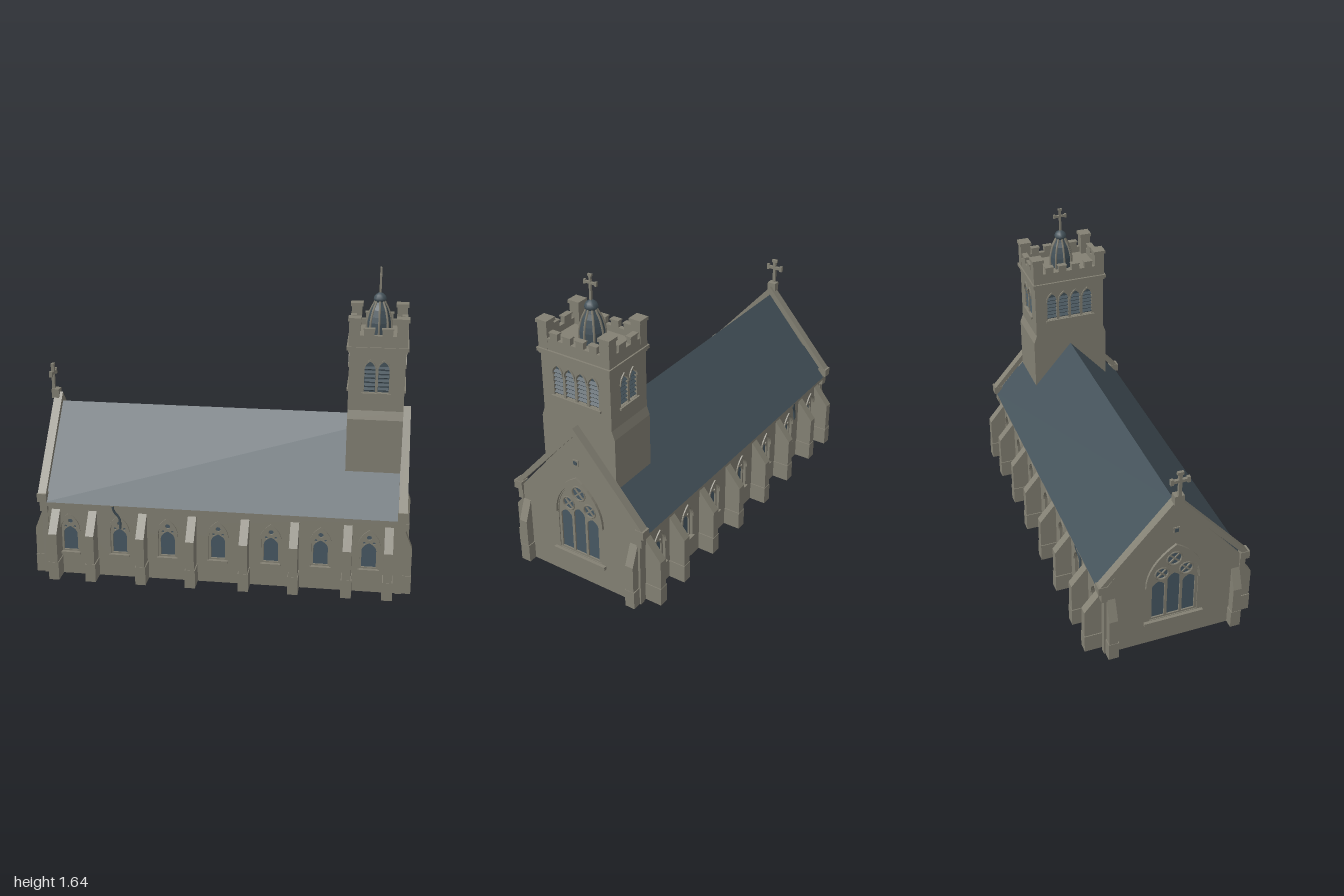
import * as THREE from 'three';

const material = (name, color) => {
  const m = new THREE.MeshStandardMaterial({ color });
  m.name = name;
  return m;
};

export function createModel() {
  const stone = material('stone', 0x838073);
  const slate = material('slate', 0x44525a);
  const glass = material('leaded glass', 0x475863);

  const church = new THREE.Group();
  church.name = 'church';

  const group = (name, parent) => {
    const g = new THREE.Group();
    g.name = name;
    parent.add(g);
    return g;
  };
  const add = (parent, name, geo, mat, x = 0, y = 0, z = 0) => {
    const m = new THREE.Mesh(geo, mat);
    m.name = name;
    m.position.set(x, y, z);
    parent.add(m);
    return m;
  };
  const box = (parent, name, w, h, d, x, y, z, mat = stone) =>
    add(parent, name, new THREE.BoxGeometry(w, h, d), mat, x, y, z);
  const V = (x, y) => new THREE.Vector2(x, y);
  const poly = (...p) => p.map(([x, y]) => V(x, y));

  // Pointed arch outline: base y0, springing ys, apex ya, half width w, centre cx
  const arch = (cx, w, y0, ys, ya) => {
    const p = new THREE.Path();
    p.moveTo(cx + w, y0);
    p.lineTo(cx + w, ys);
    p.quadraticCurveTo(cx + w, ys + 0.6 * (ya - ys), cx, ya);
    p.quadraticCurveTo(cx - w, ys + 0.6 * (ya - ys), cx - w, ys);
    p.lineTo(cx - w, y0);
    return p.getPoints(8);
  };
  const circle = (cx, cy, r) => new THREE.Path().absarc(cx, cy, r, 0, Math.PI * 2).getPoints(12);
  const plate = (pts, depth, holes = []) => {
    const s = new THREE.Shape(pts);
    s.holes = holes.map(h => new THREE.Path(h));
    return new THREE.ExtrudeGeometry(s, { depth, bevelEnabled: false });
  };
  const hood = (parent, name, outer, inner, depth, x, y, z) =>
    add(parent, name, plate([...outer, ...inner.slice().reverse()], depth), stone, x, y, z);

  // ---- Nave body and roof
  box(church, 'naveCore', 1.88, 0.43, 0.67, 0, 0.215, 0);
  const roof = add(church, 'roof', plate(poly([-0.39, 0.415], [0.39, 0.415], [0, 0.86]), 1.87), slate, -0.935);
  roof.rotation.y = Math.PI / 2;

  // Sloped-top buttress, projecting along +z from its wall
  const buttress = (parent, x, z, out, low, high) => {
    const g = plate(poly([0, 0], [out, 0], [out, low], [0, high]), 0.045);
    g.rotateY(-Math.PI / 2);
    add(parent, 'buttress', g, stone, x + 0.0225, 0, z);
    box(parent, 'buttressFoot', 0.055, 0.1, out + 0.004, x, 0.05, z + out / 2);
  };

  // ---- Long sides, the back one turned half round
  const windowXs = [-0.81, -0.54, -0.28, -0.01, 0.27, 0.53, 0.78];
  const buttressXs = [-0.88, -0.68, -0.41, -0.145, 0.135, 0.395, 0.67, 0.88];
  for (const s of [1, -1]) {
    const side = group(s > 0 ? 'frontSide' : 'backSide', church);
    side.rotation.y = s > 0 ? 0 : Math.PI;
    const xs = windowXs.map(x => x * s);
    const wall = poly([-0.94, 0], [0.94, 0], [0.94, 0.42], [-0.94, 0.42]);
    add(side, 'sideWall', plate(wall, 0.03, xs.map(x => arch(x, 0.048, 0.125, 0.25, 0.335))), stone, 0, 0, 0.335);
    for (const x of xs) {
      const w = group('sideWindow', side);
      w.position.x = x;
      add(w, 'pane', new THREE.ShapeGeometry(new THREE.Shape(arch(0, 0.05, 0.12, 0.25, 0.337))), glass, 0, 0, 0.338);
      // Tracery head over the wide light
      const holes = [arch(0, 0.038, 0.132, 0.225, 0.268), circle(0, 0.297, 0.013),
        circle(-0.025, 0.267, 0.007), circle(0.025, 0.267, 0.007)];
      add(w, 'tracery', plate(arch(0, 0.048, 0.125, 0.25, 0.335), 0.01, holes), stone, 0, 0, 0.34);
      hood(w, 'windowHood', arch(0, 0.058, 0.25, 0.255, 0.35), arch(0, 0.048, 0.25, 0.255, 0.335), 0.01, 0, 0, 0.362);
      box(w, 'sill', 0.11, 0.012, 0.018, 0, 0.122, 0.368);
    }
    for (const x of buttressXs) buttress(side, x * s, 0.36, 0.095, 0.26, 0.375);
    box(side, 'eaveCornice', 1.88, 0.025, 0.025, 0, 0.405, 0.372);
    // Bent rainwater pipe
    const pipe = new THREE.CatmullRomCurve3([[0, 0.41, 0.385], [0.005, 0.38, 0.38], [0.03, 0.34, 0.372], [0.035, 0.28, 0.372]]
      .map(p => new THREE.Vector3(...p)));
    add(side, 'rainwaterPipe', new THREE.TubeGeometry(pipe, 10, 0.007, 6), slate, -0.565 * s);
  }

  // ---- Gable ends, built facing +z and turned to face +x and -x
  for (const s of [1, -1]) {
    const end = group(s > 0 ? 'eastGable' : 'westGable', church);
    end.rotation.y = s * Math.PI / 2;
    const opening = arch(0, 0.13, 0.15, 0.37, 0.595);
    add(end, 'gableWall', plate(poly([-0.37, 0], [0.37, 0], [0.37, 0.43], [0, 0.875], [-0.37, 0.43]), 0.03,
      [opening]), stone, 0, 0, 0.925);
    add(end, 'coping', plate(poly([0.395, 0.425], [0.395, 0.462], [0, 0.91], [-0.395, 0.462], [-0.395, 0.425], [0, 0.865]),
      0.045), stone, 0, 0, 0.922);
    add(end, 'greatPane', new THREE.ShapeGeometry(new THREE.Shape(opening)), glass, 0, 0, 0.9415);
    // Three lancet lights under three traceried circles
    const lights = [-1, 0, 1].map(i => arch(i * 0.082, 0.034, 0.16, 0.36 + (i ? 0 : 0.03), 0.395 + (i ? 0 : 0.035)));
    const rounds = [circle(0, 0.522, 0.038), circle(0.065, 0.442, 0.034), circle(-0.065, 0.442, 0.034)];
    add(end, 'greatTracery', plate(opening, 0.008, [...lights, ...rounds]), stone, 0, 0, 0.942);
    for (const [x, y, r] of [[0, 0.522, 0.04], [0.065, 0.442, 0.036], [-0.065, 0.442, 0.036]]) {
      add(end, 'traceryRing', new THREE.TorusGeometry(r, 0.005, 4, 16), stone, x, y, 0.95);
      for (const a of [0, Math.PI / 2])
        box(end, 'traceryBar', 2 * r, 0.007, 0.006, x, y, 0.947).rotation.z = a + Math.PI / 4;
    }
    hood(end, 'greatHood', arch(0, 0.155, 0.375, 0.385, 0.625), arch(0, 0.132, 0.375, 0.385, 0.598), 0.016, 0, 0, 0.952);
    box(end, 'greatSill', 0.32, 0.02, 0.025, 0, 0.137, 0.96);
    box(end, 'vent', 0.034, 0.034, 0.008, 0, 0.71, 0.956);
    box(end, 'ventPane', 0.02, 0.02, 0.003, 0, 0.71, 0.961, slate);
    for (const side of [-1, 1]) {
      buttress(end, side * 0.335, 0.95, 0.05, 0.25, 0.375);
      box(end, 'kneeler', 0.05, 0.045, 0.05, side * 0.378, 0.442, 0.945);
      box(end, 'kneelerCorbel', 0.03, 0.06, 0.04, side * 0.37, 0.39, 0.942);
    }
  }

  // Cross with flared arm ends, arms along z
  const cross = (name, x, y, h, span, t) => {
    const c = group(name, church);
    c.position.set(x, y, 0);
    const armY = h * 0.68;
    box(c, 'shaft', t, h, t, 0, h / 2, 0);
    box(c, 'arms', t, t, span, 0, armY, 0);
    box(c, 'topEnd', t, t, t * 2, 0, h - t / 2, 0);
    for (const s of [-1, 1]) box(c, 'armEnd', t, t * 2, t, 0, armY, s * (span / 2 - t / 2));
  };
  box(church, 'crossBase', 0.04, 0.05, 0.05, -0.958, 0.905, 0);
  cross('gableCross', -0.972, 0.91, 0.16, 0.1, 0.016);

  // ---- Tower
  const tower = group('tower', church);
  tower.position.x = 0.782;
  const hx = 0.142, hz = 0.202;
  box(tower, 'towerCore', 2 * hx - 0.04, 0.9, 2 * hz - 0.04, 0, 0.85, 0);
  // Wider lower stage with a weathered top edge
  const lower = new THREE.BoxGeometry(2 * hx, 0.52, 2 * hz + 0.03);
  const lp = lower.attributes.position;
  const base = plate(poly([-hz - 0.016, 0.4], [hz + 0.016, 0.4], [hz + 0.016, 0.895], [hz, 0.94], [-hz, 0.94], [-hz - 0.016, 0.895]), 2 * hx);
  add(tower, 'lowerStage', base, stone, -hx).rotation.y = Math.PI / 2;

  // Four belfry faces with louvred lancets
  for (let i = 0; i < 4; i++) {
    const wide = i % 2 === 1;
    const half = wide ? hz : hx, dist = wide ? hx : hz;
    const xs = wide ? [-0.105, -0.035, 0.035, 0.105] : [-0.035, 0.035];
    const face = group('belfryFace', tower);
    face.rotation.y = i * Math.PI / 2;
    const outline = poly([-half, 0.9], [half, 0.9], [half, 1.3], [-half, 1.3]);
    add(face, 'belfryWall', plate(outline, 0.02, xs.map(x => arch(x, 0.028, 1.035, 1.155, 1.2))), stone, 0, 0, dist - 0.02);
    for (const x of xs) {
      add(face, 'louvreBack', new THREE.ShapeGeometry(new THREE.Shape(arch(x, 0.029, 1.03, 1.155, 1.202))), slate, 0, 0, dist - 0.018);
      for (let k = 0; k < 6; k++)
        box(face, 'louvre', 0.054, 0.005, 0.018, x, 1.052 + k * 0.022, dist - 0.01, slate).rotation.x = 0.6;
      hood(face, 'lancetHood', arch(x, 0.034, 1.15, 1.155, 1.21), arch(x, 0.028, 1.15, 1.155, 1.2), 0.008, 0, 0, dist - 0.002);
    }
    box(face, 'belfrySill', xs.length * 0.07 + 0.01, 0.012, 0.02, 0, 1.028, dist);
    // Battlemented parapet
    box(face, 'parapet', 2 * half, 0.075, 0.025, 0, 1.295, dist - 0.008);
    const n = wide ? 4 : 2, span = 2 * half - 0.1;
    for (let k = 0; k < n; k++) {
      const x = ((k + 0.5) / n - 0.5) * span;
      box(face, 'merlon', span / n * 0.58, 0.035, 0.025, x, 1.345, dist - 0.008);
      box(face, 'merlonCap', span / n * 0.66, 0.007, 0.032, x, 1.366, dist - 0.008);
    }
  }
  box(tower, 'stringCourse', 2 * hx + 0.03, 0.018, 2 * hz + 0.025, 0, 1.265, 0);
  box(tower, 'lowerString', 2 * hx + 0.014, 0.012, 2 * hz + 0.012, 0, 1.25, 0);
  for (const sx of [-1, 1]) for (const sz of [-1, 1]) {
    box(tower, 'cornerPinnacle', 0.055, 0.14, 0.055, sx * (hx - 0.022), 1.34, sz * (hz - 0.022));
    box(tower, 'pinnacleCap', 0.066, 0.018, 0.066, sx * (hx - 0.022), 1.413, sz * (hz - 0.022));
  }

  // ---- Cupola: eight-sided bell roof with ribs and a finial
  const profile = poly([0.062, 1.29], [0.062, 1.36], [0.056, 1.39], [0.046, 1.425], [0.033, 1.45], [0.024, 1.47]);
  const bell = new THREE.LatheGeometry(profile, 8).toNonIndexed();
  bell.computeVertexNormals();
  add(tower, 'cupola', bell, slate);
  for (let i = 0; i < 8; i++) {
    const a = i * Math.PI / 4;
    const rib = new THREE.CatmullRomCurve3(profile.map(p => new THREE.Vector3(p.x * Math.sin(a), p.y, p.x * Math.cos(a))));
    add(tower, 'cupolaRib', new THREE.TubeGeometry(rib, 10, 0.006, 5), stone);
  }
  const finial = poly([0.024, 1.465], [0.033, 1.475], [0.033, 1.485], [0.026, 1.5], [0.01, 1.512], [0, 1.515]);
  add(tower, 'finial', new THREE.LatheGeometry(finial, 12), slate);
  cross('towerCross', 0.782, 1.505, 0.138, 0.075, 0.011);

  return church;
}
